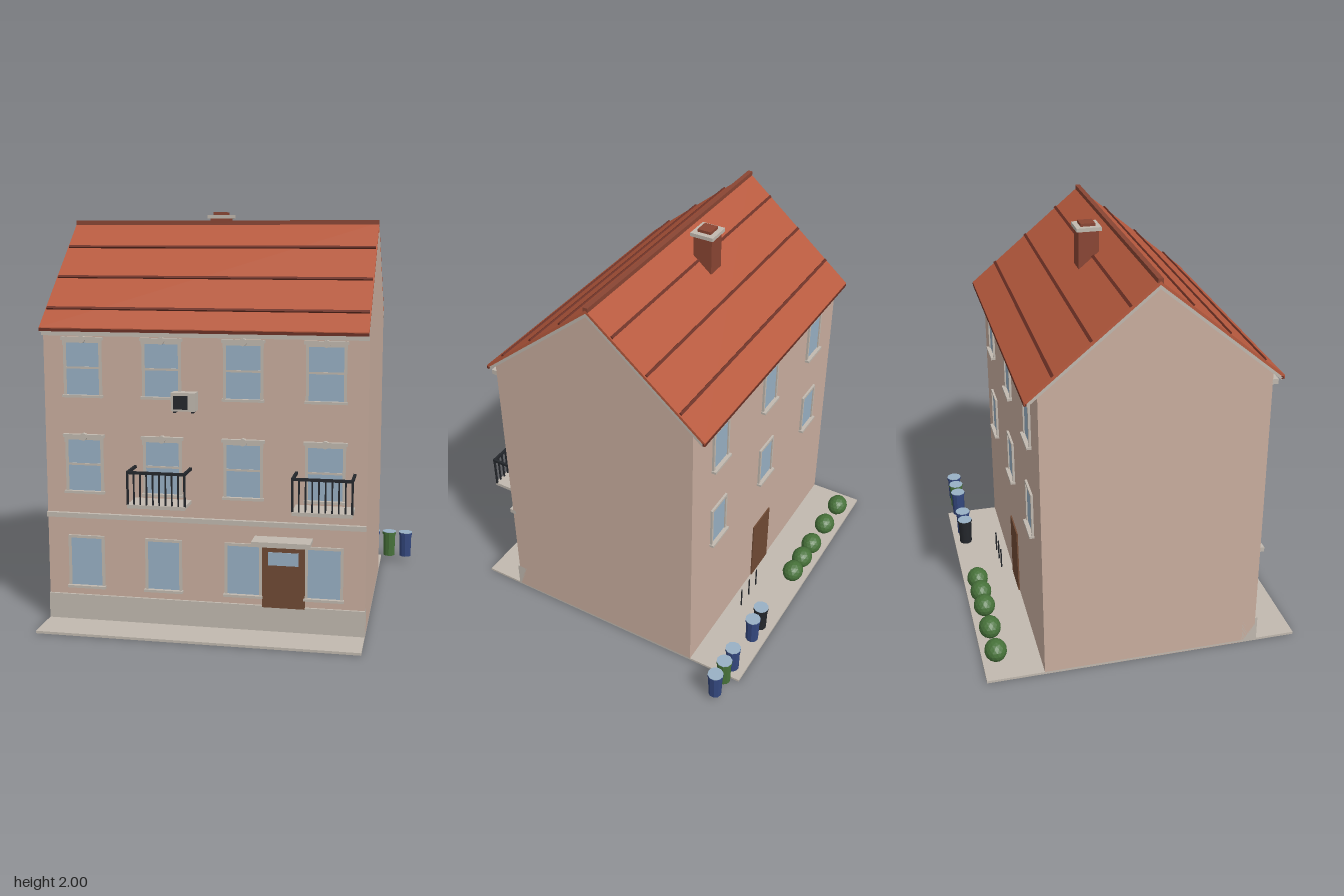
import * as THREE from 'three';

const mat = (name, color, flat = false) => {
  const m = new THREE.MeshStandardMaterial({ color, flatShading: flat });
  m.name = name;
  return m;
};

const W = 1.555, CX = -0.0925;            // house width and centre
const FRONT = 0.565, BACK = -0.5;         // wall faces
const RIDGE = { z: 0.033, y: 1.945 };     // roof ridge line
const EAVE_Y = 1.455, EAVE_F = 0.62, EAVE_B = -0.558;

export function createModel() {
  const model = new THREE.Group();
  model.name = 'townHouse';

  const wall = mat('plaster', 0xc9ae9f);
  const stone = mat('stone', 0xc1b9af);
  const tile = mat('roofTile', 0xb85a3e);
  const seam = mat('tileSeam', 0x6c3024);
  const brick = mat('brick', 0x8a4533);
  const glass = mat('glass', 0x98b0c4);
  const wood = mat('wood', 0x704a34);
  const iron = mat('iron', 0x24272c);
  const green = mat('green', 0x47723a, true);
  const blue = mat('blue', 0x34487f, true);

  const add = (parent, name, geo, material) => {
    const m = new THREE.Mesh(geo, material);
    m.name = name;
    parent.add(m);
    return m;
  };
  // Box given by its limits on each axis
  const box = (parent, name, material, x0, x1, y0, y1, z0, z1) => {
    const m = add(parent, name, new THREE.BoxGeometry(x1 - x0, y1 - y0, z1 - z0), material);
    m.position.set((x0 + x1) / 2, (y0 + y1) / 2, (z0 + z1) / 2);
    return m;
  };
  const group = (name, x = 0, y = 0, z = 0) => {
    const g = new THREE.Group();
    g.name = name;
    g.position.set(x, y, z);
    model.add(g);
    return g;
  };
  // (z, y) outline swept across the width of the house
  const sweep = (name, material, pts) => {
    const shape = new THREE.Shape(pts.map(([z, y]) => new THREE.Vector2(z, y)));
    const geo = new THREE.ExtrudeGeometry(shape, { depth: W, bevelEnabled: false });
    geo.translate(0, 0, -W / 2);
    geo.rotateY(-Math.PI / 2);
    add(model, name, geo, material).position.x = CX;
  };
  const L = CX - W / 2, R = CX + W / 2;
  const slopeF = (RIDGE.y - EAVE_Y) / (EAVE_F - RIDGE.z);
  const slopeB = (RIDGE.y - EAVE_Y) / (RIDGE.z - EAVE_B);
  const roofY = z => RIDGE.y - (z > RIDGE.z ? slopeF * (z - RIDGE.z) : slopeB * (RIDGE.z - z));

  // Ground, walls, plinth and mouldings
  box(model, 'pavement', stone, L, R, 0, 0.012, -0.78, 0.775);
  const under = 0.034;
  sweep('walls', wall, [[BACK, 0.001], [FRONT, 0.001], [FRONT, roofY(FRONT) - under],
    [RIDGE.z, RIDGE.y - under], [BACK, roofY(BACK) - under]]);
  box(model, 'plinth', stone, L, R, 0.001, 0.137, 0.5, 0.577);
  box(model, 'stringCourse', stone, L, R, 0.527, 0.55, 0.55, 0.585);
  box(model, 'cornice', stone, L, R, 1.415, 1.44, 0.55, 0.592);

  // Roof layers
  const layer = (name, material, top, bottom, inset) => sweep(name, material, [
    [EAVE_F - inset, roofY(EAVE_F - inset) - top], [RIDGE.z, RIDGE.y - top],
    [EAVE_B + inset, roofY(EAVE_B + inset) - top], [EAVE_B + inset, roofY(EAVE_B + inset) - bottom],
    [RIDGE.z, RIDGE.y - bottom], [EAVE_F - inset, roofY(EAVE_F - inset) - bottom]].reverse());
  layer('roofTiles', tile, 0, 0.016, 0);
  layer('roofTrim', stone, 0.016, under, 0.012);
  box(model, 'ridgeCap', brick, L, R, RIDGE.y - 0.012, RIDGE.y + 0.012, RIDGE.z - 0.012, RIDGE.z + 0.012);
  for (const z of [0.18, 0.352, 0.522, -0.092, -0.262, -0.432]) {
    const m = box(model, 'tileSeam', seam, L + 0.006, R - 0.006, -0.006, 0.006, -0.007, 0.007);
    m.position.set(CX, roofY(z) + 0.002, z);
    m.rotation.x = z > RIDGE.z ? Math.atan(slopeF) : -Math.atan(slopeB);
  }
  box(model, 'frontEaveEdge', seam, L, R, 1.437, 1.451, 0.604, 0.621);
  box(model, 'backEaveEdge', seam, L, R, 1.437, 1.451, -0.559, -0.542);

  // Chimney
  const chimney = group('chimney', -0.1375, 0, -0.112);
  box(chimney, 'stack', brick, -0.049, 0.049, 1.72, 1.97, -0.049, 0.049);
  box(chimney, 'cap', stone, -0.062, 0.062, 1.968, 1.986, -0.06, 0.06);
  box(chimney, 'flue', brick, -0.036, 0.036, 1.98, 2, -0.035, 0.035);

  // Windows: outward is local +z, origin at the middle of the glass bottom
  const addWindow = (x, y, z, w, h, { rail = false, crown = false, back = false } = {}) => {
    const g = group('window', x, y, z);
    if (back) g.rotation.y = Math.PI;
    const a = w / 2, f = 0.013;
    box(g, 'pane', glass, -a, a, 0, h, -0.004, 0.004);
    for (const s of [-1, 1]) {
      const b = s * (a + f / 2);
      box(g, 'jamb', stone, b - f / 2, b + f / 2, 0, h, -0.004, 0.011);
    }
    box(g, 'head', stone, -a - f, a + f, h, h + f, -0.004, 0.011);
    box(g, 'sill', stone, -a - 0.018, a + 0.018, -0.012, 0, -0.004, 0.024);
    if (rail) box(g, 'middleRail', stone, -a, a, h * 0.52 - 0.005, h * 0.52 + 0.005, -0.004, 0.008);
    if (crown) {
      box(g, 'crown', stone, -a - 0.021, a + 0.021, h + 0.013, h + 0.028, -0.004, 0.022);
      const key = add(g, 'keystone', new THREE.CylinderGeometry(0.018, 0.018, 0.026, 12), stone);
      key.rotation.x = Math.PI / 2;
      key.position.set(0, h + 0.016, 0.01);
      for (const s of [-1, 1]) box(g, 'bracket', stone, s * (a + 0.008) - 0.006, s * (a + 0.008) + 0.006, h - 0.012, h + 0.014, -0.004, 0.018);
    }
  };
  for (const x of [-0.675, -0.288, 0.103, 0.49]) {
    addWindow(x, 0.186, FRONT, 0.155, 0.238);
    for (const y of [0.662, 1.131]) addWindow(x, y, FRONT, 0.162, 0.25, { rail: true, crown: true });
  }
  for (const x of [-0.61, CX, 0.425])
    for (const y of [0.67, 1.142]) addWindow(x, y, BACK, 0.126, 0.205, { back: true });

  // Doors and canopy
  box(model, 'frontDoor', wood, 0.195, 0.4, 0.13, 0.427, 0.555, 0.578);
  box(model, 'doorLight', glass, 0.225, 0.37, 0.34, 0.404, 0.574, 0.581);
  box(model, 'doorLintel', stone, 0.178, 0.418, 0.427, 0.448, 0.555, 0.586);
  box(model, 'canopy', stone, 0.158, 0.435, 0.461, 0.477, 0.555, 0.672);
  box(model, 'backDoor', wood, -0.186, 0.001, 0.002, 0.367, -0.507, -0.49);

  // Balconies
  for (const x of [-0.287, 0.491]) {
    const g = group('balcony', x), a = 0.142, t = 0.012, zf = 0.708;
    box(g, 'slab', stone, -a + 0.003, a - 0.003, 0.62, 0.637, 0.555, 0.71);
    box(g, 'frontRail', iron, -a, a, 0.783, 0.796, zf - t, zf);
    for (const s of [-1, 1]) {
      const c = s * (a - t / 2);
      box(g, 'sideRail', iron, c - t / 2, c + t / 2, 0.783, 0.796, 0.56, zf - t);
    }
    for (let i = 0; i < 10; i++) {
      const c = (i / 9 * 2 - 1) * (a - 0.005), r = i % 9 ? 0.0035 : 0.005;
      box(g, 'baluster', iron, c - r, c + r, 0.635, 0.785, zf - 0.01, zf - 0.003);
    }
  }

  // Air conditioner
  const ac = group('airConditioner', -0.1725);
  box(ac, 'casing', stone, -0.058, 0.058, 1.073, 1.16, 0.56, 0.625);
  box(ac, 'grille', iron, -0.046, 0.022, 1.082, 1.146, 0.62, 0.628);
  for (const s of [-1, 1]) box(ac, 'bracket', iron, s * 0.043 - 0.005, s * 0.043 + 0.005, 1.064, 1.074, 0.56, 0.62);

  // Bins behind the house
  for (const [x, m] of [[0.327, iron], [0.42, blue], [0.64, blue], [0.733, green], [0.826, blue]]) {
    const g = group('bin', x, 0, -0.72);
    add(g, 'body', new THREE.CylinderGeometry(0.036, 0.033, 0.13, 10), m).position.y = 0.1;
    add(g, 'rim', new THREE.CylinderGeometry(0.04, 0.04, 0.012, 10), m).position.y = 0.168;
    add(g, 'lid', new THREE.CylinderGeometry(0.0395, 0.0395, 0.004, 10), glass).position.y = 0.175;
  }

  // Shrubs and garden stakes
  [-0.714, -0.528, -0.342, -0.216, -0.095].forEach((x, i) => {
    const s = add(model, 'shrub', new THREE.IcosahedronGeometry(1, 2), green);
    s.scale.set(0.063, 0.055, 0.055);
    s.position.set(x, 0.065, -0.712);
    s.rotation.y = i % 2 ? Math.PI : 0;
  });
  for (const x of [0.228, 0.14, 0.055])
    add(model, 'stake', new THREE.CylinderGeometry(0.004, 0.004, 0.115, 6), iron).position.set(x, 0.068, -0.56);

  return model;
}
